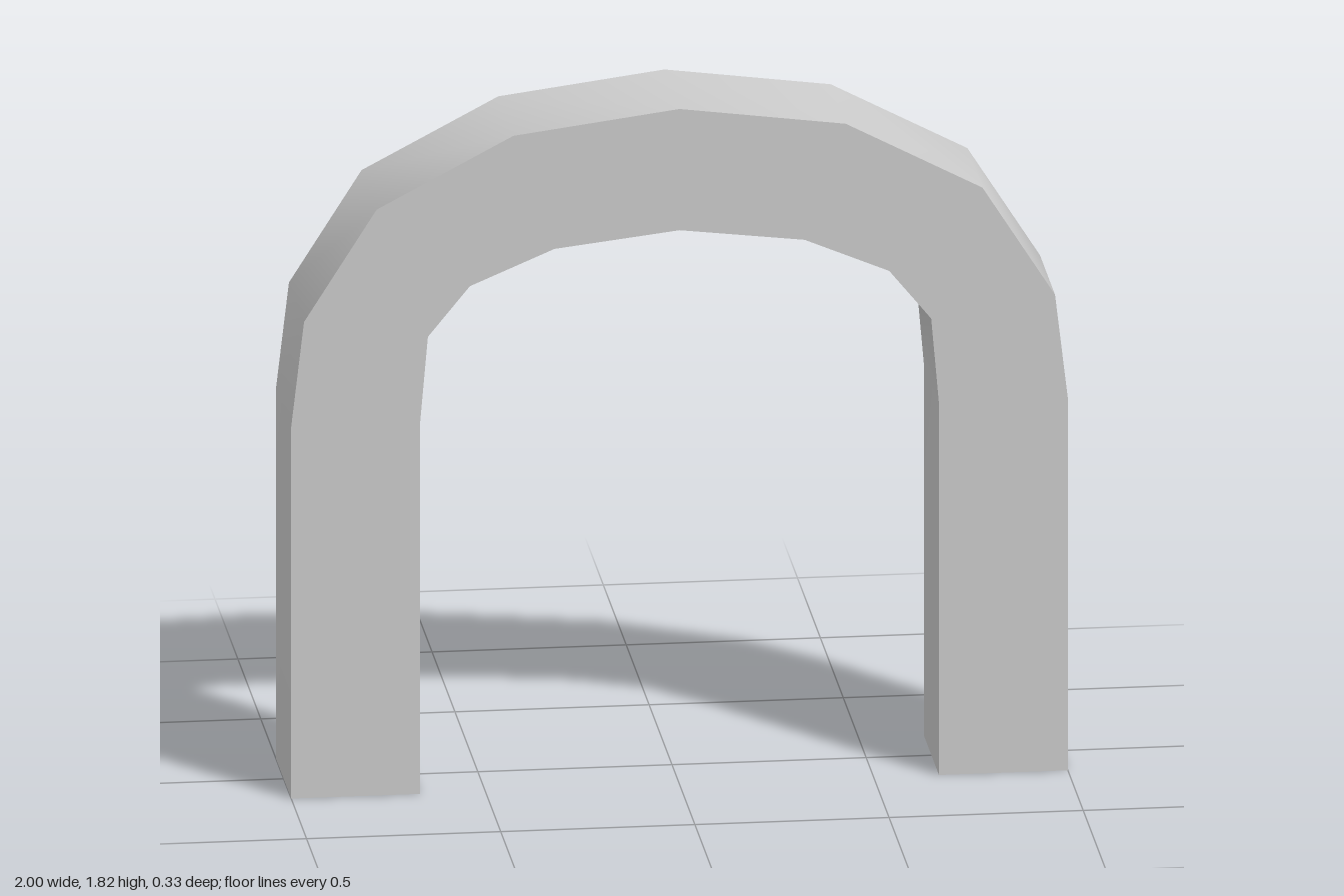
import * as THREE from 'three';
import { toCreasedNormals } from 'three/addons/utils/BufferGeometryUtils.js';

const HALF_DEPTH = 0.165;

// Half profiles from the foot up to the crown, on the +x side
const OUTER = [[1, 0], [1, 1], [0.967, 1.28], [0.78, 1.575], [0.428, 1.76], [0, 1.816]];
const INNER = [[0.668, 0], [0.668, 1], [0.648, 1.228], [0.54, 1.36], [0.322, 1.452], [0, 1.49]];

// Mirror a half profile into a full run from the +x foot to the -x foot
function fullRun(half) {
  const mirrored = half.slice(0, -1).reverse().map(([x, y]) => [-x, y]);
  return [...half, ...mirrored].map(([x, y]) => new THREE.Vector2(x, y));
}

export function createModel() {
  const group = new THREE.Group();
  group.name = 'archway';

  // Arch: outer run over the top, inner run back underneath
  const shape = new THREE.Shape([...fullRun(OUTER), ...fullRun(INNER).reverse()]);
  const geometry = new THREE.ExtrudeGeometry(shape, { depth: HALF_DEPTH * 2, bevelEnabled: false });
  geometry.translate(0, 0, -HALF_DEPTH);

  // Smooth around the bend, sharp at the front and back edges
  const arch = new THREE.Mesh(
    toCreasedNormals(geometry, THREE.MathUtils.degToRad(45)),
    new THREE.MeshStandardMaterial({ color: 0xcccccc })
  );
  arch.name = 'arch';
  group.add(arch);
  return group;
}
